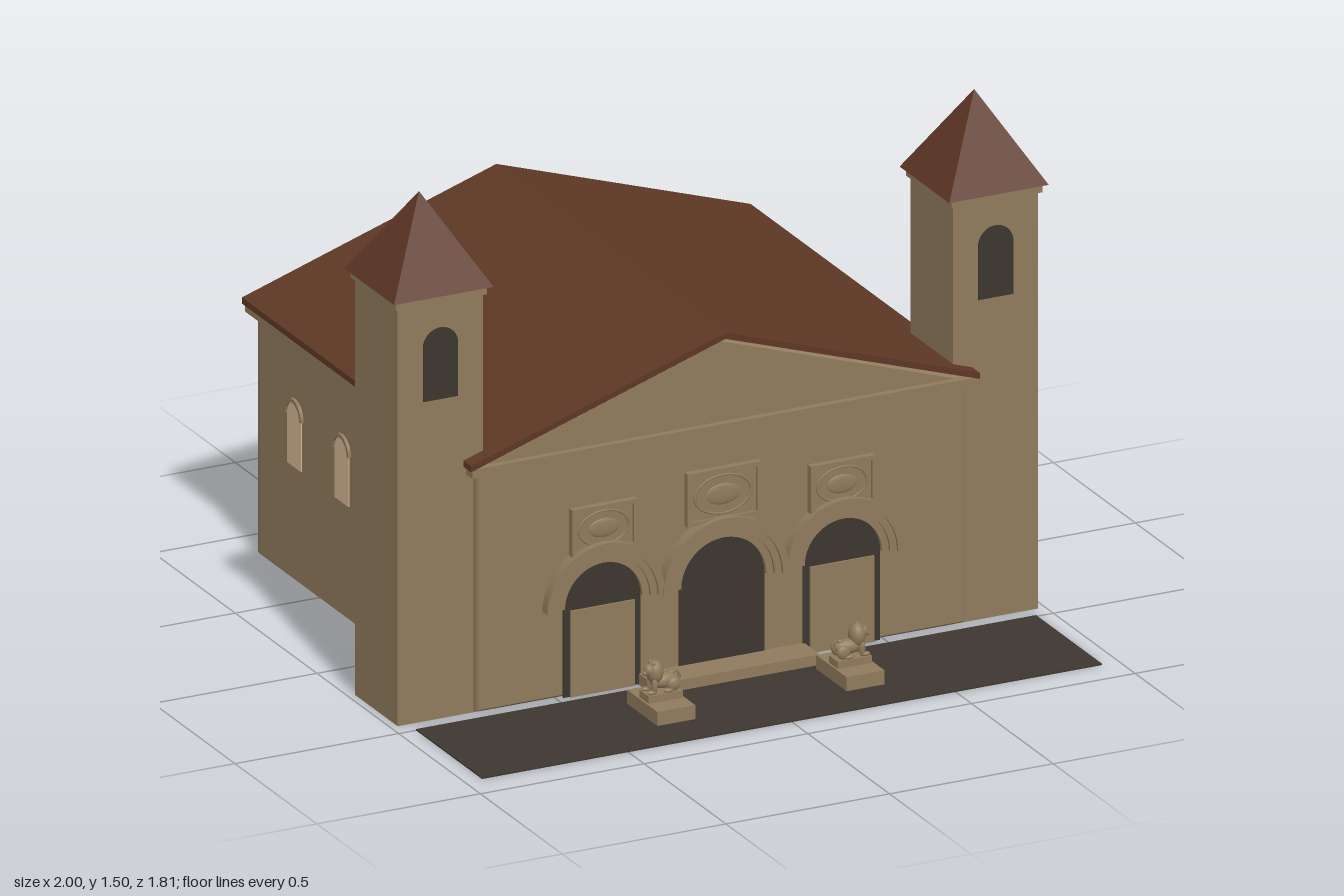
import * as THREE from 'three';

const makeMat = (name, color) => {
  const m = new THREE.MeshStandardMaterial({ color });
  m.name = name;
  return m;
};

export function createModel() {
  const stone = makeMat('stone', 0x8f7a5c);
  const roofTile = makeMat('roofTile', 0x5e3725);
  const dark = makeMat('darkOpening', 0x3d3630);
  const glass = makeMat('windowGlass', 0xd4b694);

  const root = new THREE.Group();
  root.name = 'church';

  const add = (parent, name, geo, mat, x = 0, y = 0, z = 0) => {
    const mesh = new THREE.Mesh(geo, mat);
    mesh.name = name;
    mesh.position.set(x, y, z);
    parent.add(mesh);
    return mesh;
  };
  // Box given by its limits on each axis
  const box = (parent, name, mat, x0, x1, y0, y1, z0, z1) =>
    add(parent, name, new THREE.BoxGeometry(x1 - x0, y1 - y0, z1 - z0), mat,
      (x0 + x1) / 2, (y0 + y1) / 2, (z0 + z1) / 2);
  const group = (parent, name, x = 0, y = 0, z = 0) => {
    const g = new THREE.Group();
    g.name = name;
    g.position.set(x, y, z);
    parent.add(g);
    return g;
  };
  const extrude = (shape, depth) =>
    new THREE.ExtrudeGeometry(shape, { depth, bevelEnabled: false, curveSegments: 20 });
  // Round-headed opening standing on y = 0
  const archPlate = (r, height) => {
    const s = new THREE.Shape();
    s.moveTo(-r, 0);
    s.lineTo(r, 0);
    s.lineTo(r, height - r);
    s.absarc(0, height - r, r, 0, Math.PI, false);
    s.closePath();
    return extrude(s, 0.006);
  };
  // Half ring centred on the origin
  const halfRing = (inner, outer, depth) => {
    const s = new THREE.Shape();
    s.absarc(0, 0, outer, 0, Math.PI, false);
    s.absarc(0, 0, inner, Math.PI, 0, true);
    s.closePath();
    return extrude(s, depth);
  };

  // Nave with gabled ends and softened corners
  const gable = new THREE.Shape();
  [[-0.747, 0.004], [0.747, 0.004], [0.747, 0.728], [0, 0.974], [-0.747, 0.728]]
    .forEach(([x, y], i) => (i ? gable.lineTo(x, y) : gable.moveTo(x, y)));
  add(root, 'naveWalls', new THREE.ExtrudeGeometry(gable, {
    depth: 1.30, bevelEnabled: true, bevelThickness: 0.025, bevelSize: 0.008,
    bevelOffset: -0.008, bevelSegments: 2,
  }), stone, 0, 0, -0.855);
  box(root, 'naveFloor', dark, -0.722, 0.722, 0, 0.005, -0.855, 0.45);
  box(root, 'cornice', stone, -0.77, 0.77, 0.704, 0.73, -0.9, 0.49);

  // Pitched roof
  const roof = new THREE.Shape();
  [[-0.777, 0.727], [0, 0.982], [0.777, 0.727], [0.777, 0.745], [0, 1.0], [-0.777, 0.745]]
    .forEach(([x, y], i) => (i ? roof.lineTo(x, y) : roof.moveTo(x, y)));
  add(root, 'naveRoof', extrude(roof, 1.402), roofTile, 0, 0, -0.905);

  // Bell towers
  for (const side of [-1, 1]) {
    const t = group(root, side > 0 ? 'leftTower' : 'rightTower', side * 0.848, 0, 0.32);
    box(t, 'towerShaft', stone, -0.13, 0.13, 0, 1.225, -0.13, 0.13);
    box(t, 'towerCornice', stone, -0.139, 0.139, 1.225, 1.25, -0.139, 0.139);
    const cone = new THREE.ConeGeometry(0.152 * Math.SQRT2, 0.255, 4).rotateY(Math.PI / 4).toNonIndexed();
    cone.computeVertexNormals();
    add(t, 'towerRoof', cone, roofTile, 0, 1.3765, 0);
    add(t, 'frontBellOpening', archPlate(0.053, 0.21), dark, 0, 0.94, 0.128);
    add(t, 'backBellOpening', archPlate(0.053, 0.21), dark, 0, 0.94, -0.128).rotation.y = Math.PI;
  }

  // Portals with stepped arches and carved panels above
  const portal = (name, x, r, outer, depth, springY) => {
    const p = group(root, name, x, 0, 0.468);
    add(p, 'doorway', archPlate(r, springY + r), dark, 0, 0.004, 0);
    const w = (outer - r) / 3;
    for (let i = 0; i < 3; i++) {
      add(p, 'archMoulding', halfRing(r + i * w, r + (i + 1) * w, depth * (0.5 + 0.25 * i)),
        stone, 0, springY, 0);
    }
    return p;
  };
  const reliefPanel = (name, x, y, w, h) => {
    const p = group(root, name, x, y, 0.468);
    box(p, 'panelSlab', stone, -w / 2, w / 2, -h / 2, h / 2, 0, 0.014);
    const b = 0.012;
    for (const s of [-1, 1]) {
      add(p, 'panelFrame', new THREE.BoxGeometry(w, b, 0.022), stone, 0, s * (h - b) / 2, 0.011);
      add(p, 'panelFrame', new THREE.BoxGeometry(b, h - 2 * b, 0.022), stone, s * (w - b) / 2, 0, 0.011);
    }
    const ring = add(p, 'reliefRing', new THREE.TorusGeometry(1, 0.06, 6, 32), stone, 0, 0, 0.014);
    ring.scale.set(w * 0.38, h * 0.36, 0.05);
    const boss = add(p, 'reliefBoss', new THREE.SphereGeometry(1, 20, 12), stone, 0, 0, 0.013);
    boss.scale.set(w * 0.24, h * 0.2, 0.006);
  };
  portal('mainPortal', 0, 0.13, 0.193, 0.037, 0.265);
  reliefPanel('mainReliefPanel', 0, 0.522, 0.225, 0.156);
  for (const side of [-1, 1]) {
    const p = portal('sidePortal', side * 0.366, 0.118, 0.18, 0.034, 0.267);
    box(p, 'sideDoor', stone, -0.098, 0.098, 0.004, 0.257, 0, 0.012);
    reliefPanel('sideReliefPanel', side * 0.364, 0.487, 0.2, 0.139);
  }
  add(root, 'backDoor', archPlate(0.13, 0.39), dark, 0, 0.004, -0.876).rotation.y = Math.PI;

  // Side windows with small hood mouldings
  for (const side of [-1, 1]) {
    for (const z of [0.23, -0.06, -0.35, -0.64]) {
      const w = group(root, 'sideWindow', side * 0.744, 0.335, z);
      w.rotation.y = side * Math.PI / 2;
      add(w, 'windowPane', archPlate(0.042, 0.19), glass);
      add(w, 'windowHood', halfRing(0.042, 0.053, 0.012), stone, 0, 0.148, 0);
    }
  }

  // Forecourt and step
  box(root, 'forecourt', dark, -0.947, 0.947, 0, 0.004, 0.5, 0.904);
  box(root, 'entranceStep', stone, -0.253, 0.253, 0.002, 0.035, 0.47, 0.567);

  // Guardian lions facing outwards
  const ball = new THREE.SphereGeometry(1, 16, 12);
  const blob = (parent, name, x, y, z, sx, sy, sz) =>
    add(parent, name, ball, stone, x, y, z).scale.set(sx, sy, sz);
  for (const side of [-1, 1]) {
    const l = group(root, 'lionStatue', side * 0.289, 0, 0.682);
    if (side < 0) l.rotation.y = Math.PI;
    box(l, 'plinth', stone, -0.058, 0.058, 0.002, 0.045, -0.093, 0.093);
    box(l, 'lionBase', stone, -0.052, 0.052, 0.045, 0.066, -0.028, 0.028);
    blob(l, 'body', -0.008, 0.095, 0, 0.042, 0.022, 0.021);
    blob(l, 'mane', 0.02, 0.124, 0, 0.024, 0.034, 0.026);
    blob(l, 'head', 0.036, 0.131, 0, 0.017, 0.018, 0.016);
    blob(l, 'muzzle', 0.049, 0.125, 0, 0.009, 0.008, 0.009);
    for (const s of [-1, 1]) {
      blob(l, 'haunch', -0.03, 0.086, s * 0.017, 0.02, 0.02, 0.011);
      blob(l, 'hindPaw', -0.014, 0.071, s * 0.021, 0.016, 0.006, 0.007);
      blob(l, 'foreleg', 0.028, 0.088, s * 0.016, 0.009, 0.024, 0.008);
      blob(l, 'forePaw', 0.038, 0.071, s * 0.017, 0.014, 0.006, 0.008);
      blob(l, 'ear', 0.027, 0.15, s * 0.012, 0.005, 0.007, 0.004);
    }
    const tail = new THREE.CatmullRomCurve3([[-0.045, 0.082, 0], [-0.056, 0.1, 0], [-0.046, 0.117, 0], [-0.034, 0.113, 0]]
      .map((p) => new THREE.Vector3(...p)));
    add(l, 'tail', new THREE.TubeGeometry(tail, 12, 0.004, 6), stone);
    blob(l, 'tailTuft', -0.032, 0.113, 0, 0.008, 0.006, 0.006);
  }

  return root;
}
